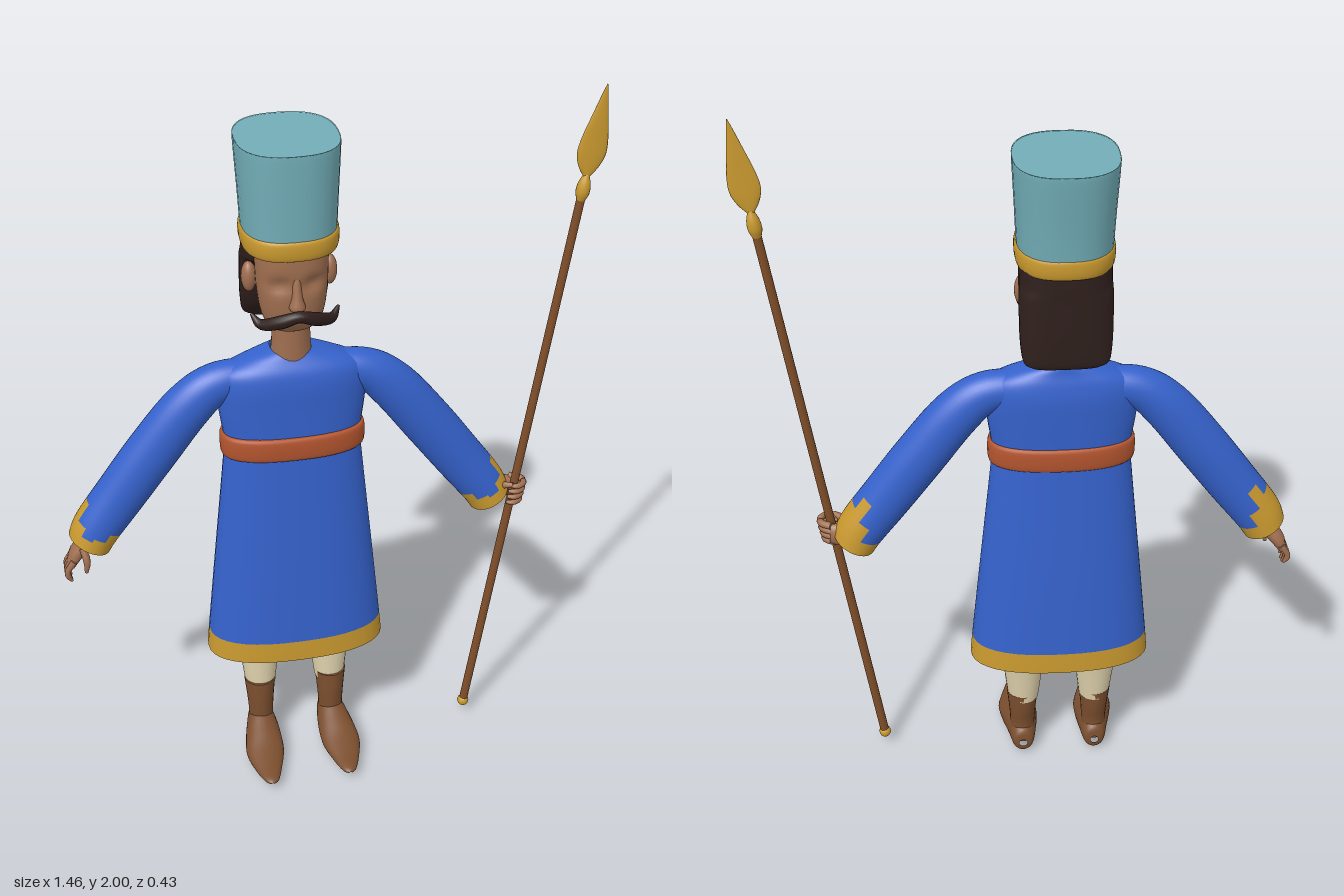
import * as THREE from 'three';

const CX = -0.09; // centre line of the body
const mat = (name, color, double) => {
  const m = new THREE.MeshStandardMaterial({ color });
  m.name = name;
  if (double) m.side = THREE.DoubleSide;
  return m;
};

// Smooth loft through rows of [x, y, z, radiusU, radiusV].
// V follows ref (z by default); axis fixes the ring direction; p squares the section.
function loft(rows, { segs = 24, k = 4, p = 2, axis, ref = [0, 0, 1], pick, capStart, capEnd } = {}) {
  const path = new THREE.CatmullRomCurve3(rows.map(r => new THREE.Vector3(r[0], r[1], r[2])), false, 'catmullrom');
  const size = new THREE.CatmullRomCurve3(rows.map(r => new THREE.Vector3(r[3], r[4], 0)), false, 'catmullrom');
  const n = (rows.length - 1) * k, pos = [], cells = [[], []];
  const bend = v => Math.sign(v) * Math.abs(v) ** (2 / p);
  for (let i = 0; i <= n; i++) {
    const c = path.getPoint(i / n), s = size.getPoint(i / n);
    const T = axis ? new THREE.Vector3(...axis) : path.getTangent(i / n);
    const V = new THREE.Vector3(...ref);
    V.addScaledVector(T, -V.dot(T)).normalize();
    const U = V.clone().cross(T);
    for (let j = 0; j < segs; j++) {
      const a = j / segs * Math.PI * 2;
      const q = c.clone().addScaledVector(U, bend(Math.cos(a)) * Math.max(s.x, 0.0005))
        .addScaledVector(V, bend(Math.sin(a)) * Math.max(s.y, 0.0005));
      pos.push(q.x, q.y, q.z);
    }
  }
  for (let i = 0; i < n; i++) for (let j = 0; j < segs; j++) {
    const a = i * segs + j, b = i * segs + (j + 1) % segs;
    cells[pick ? pick(i, j, n) : 0].push(a, b, b + segs, a, b + segs, a + segs);
  }
  // Flat caps use their own vertices so the rim stays sharp
  const cap = (row, flip) => {
    const base = pos.length / 3, ring = pos.slice(row * segs * 3, (row + 1) * segs * 3), mid = [0, 0, 0];
    ring.forEach((v, i) => { mid[i % 3] += v / segs; });
    pos.push(...ring, ...mid);
    for (let j = 0; j < segs; j++) {
      const a = base + j, b = base + (j + 1) % segs;
      cells[0].push(...(flip ? [b, a] : [a, b]), base + segs);
    }
  };
  if (capStart) cap(0, true);
  if (capEnd) cap(n, false);
  const g = new THREE.BufferGeometry();
  g.setAttribute('position', new THREE.Float32BufferAttribute(pos, 3));
  g.setIndex([...cells[0], ...cells[1]]);
  if (pick) {
    g.addGroup(0, cells[0].length, 0);
    g.addGroup(cells[0].length, cells[1].length, 1);
  }
  g.computeVertexNormals();
  return g;
}

export function createModel() {
  const M = {
    blue: mat('robe blue', 0x3562cc, true), gold: mat('gold trim', 0xc9992f, true),
    teal: mat('hat teal', 0x72adb7), skin: mat('skin', 0xa06f50), hair: mat('dark hair', 0x2e1f1c),
    boot: mat('boot leather', 0x7c4f2f), cream: mat('cream cloth', 0xdccfaa),
    belt: mat('belt rust', 0xb3552f), wood: mat('spear wood', 0x7f4e29),
  };
  const root = new THREE.Group();
  root.name = 'guard';
  const add = (name, geo, m, parent = root) => {
    const mesh = new THREE.Mesh(geo, m);
    mesh.name = name;
    parent.add(mesh);
    return mesh;
  };
  const ball = (name, m, x, y, z, rx, ry, rz, parent = root) => {
    const b = add(name, new THREE.SphereGeometry(1, 20, 14), m, parent);
    b.position.set(x, y, z);
    b.scale.set(rx, ry, rz);
    return b;
  };
  // Upright loft from rows of [y, radiusX, centreZ, radiusZ]
  const up = (rows, o = {}, x = CX) =>
    loft(rows.map(([y, rx, z, rz]) => [x, y, z, rx, rz]), { axis: [0, 1, 0], segs: 40, ...o });

  // Robe with gold hem, open below
  add('robe', up([[0.37, 0.255, -0.042, 0.122], [0.435, 0.249, -0.042, 0.119], [0.7, 0.222, -0.042, 0.103],
    [1.0, 0.191, -0.041, 0.082], [1.07, 0.186, -0.041, 0.078], [1.17, 0.198, -0.043, 0.078],
    [1.24, 0.2, -0.044, 0.078], [1.285, 0.185, -0.045, 0.07], [1.315, 0.12, -0.05, 0.056],
    [1.335, 0.055, -0.055, 0.047]], { p: 2.4, pick: i => (i < 4 ? 1 : 0) }), [M.blue, M.gold]);
  add('belt', up([[1.032, 0.18, -0.04, 0.075], [1.036, 0.195, -0.04, 0.087], [1.068, 0.198, -0.04, 0.09],
    [1.096, 0.195, -0.04, 0.087], [1.1, 0.18, -0.04, 0.075]], { p: 2.4 }), M.belt);

  // Sleeves with stepped gold cuffs, then legs and boots
  const steps = [9, 9, 11, 8, 5, 5, 4, 7, 7, 5, 4, 6];
  for (const s of [-1, 1]) {
    const side = s > 0 ? 'left' : 'right';
    const at = rows => rows.map(([d, ...r]) => [CX + s * d, ...r]);
    add(side + 'Sleeve', loft(at([[0.09, 1.262, -0.05, 0.045, 0.045], [0.2, 1.243, -0.048, 0.057, 0.052],
      [0.28, 1.18, -0.048, 0.067, 0.058], [0.378, 1.055, -0.05, 0.071, 0.061], [0.47, 0.93, -0.05, 0.07, 0.061],
      [0.54, 0.835, -0.049, 0.067, 0.064], [0.567, 0.785, -0.048, 0.061, 0.066]]), {
      k: 6, segs: 36,
      pick: (i, j, n) => {
        const m = s > 0 ? (54 - j) % 36 : j; // mirrored around the arm
        return n - i <= steps[Math.floor(((m + 20) % 36) / 3)] ? 1 : 0;
      },
    }), [M.blue, M.gold]);
    add(side + 'Leg', up([[0.2, 0.044, -0.052, 0.044], [0.3, 0.055, -0.058, 0.045], [0.4, 0.064, -0.064, 0.047],
      [0.55, 0.07, -0.06, 0.048]], { segs: 24 }, CX + s * 0.104), M.cream);
    add(side + 'BootShaft', up([[0.04, 0.036, -0.045, 0.04], [0.1, 0.036, -0.042, 0.038], [0.16, 0.04, -0.046, 0.045],
      [0.222, 0.046, -0.05, 0.048]], { segs: 24, capEnd: true }, CX + s * 0.106), M.boot);
    add(side + 'Foot', loft([[0.106, 0.042, -0.094, 0.012, 0.012], [0.106, 0.046, -0.085, 0.038, 0.03],
      [0.107, 0.055, -0.04, 0.054, 0.042], [0.111, 0.044, 0.025, 0.042, 0.053], [0.115, 0.034, 0.085, 0.029, 0.055],
      [0.116, 0.03, 0.15, 0.018, 0.038], [0.115, 0.032, 0.2, 0.01, 0.02], [0.115, 0.033, 0.216, 0.002, 0.004]]
      .map(([d, ...r]) => [CX + s * d, ...r]), { ref: [1, 0, 0], axis: [0, 0, 1] }), M.boot);
    ball(side + 'Ear', M.skin, CX + s * 0.105, 1.545, -0.055, 0.02, 0.042, 0.023);
  }

  // Head with shallow eye sockets
  const head = up([[1.405, 0.03, -0.02, 0.025], [1.42, 0.06, -0.02, 0.046], [1.46, 0.081, -0.02, 0.07],
    [1.53, 0.091, -0.02, 0.077], [1.6, 0.094, -0.022, 0.08], [1.66, 0.096, -0.03, 0.085]],
  { p: 2.3, k: 6, segs: 48, capStart: true });
  const hp = head.attributes.position;
  for (let i = 0; i < hp.count; i++) {
    if (hp.getZ(i) < 0) continue;
    const dx = Math.abs(hp.getX(i) - CX) - 0.042, dy = hp.getY(i) - 1.56;
    hp.setZ(i, hp.getZ(i) - 0.014 * Math.exp(-((dx / 0.03) ** 2) - (dy / 0.02) ** 2));
  }
  head.computeVertexNormals();
  add('head', head, M.skin);
  add('neck', up([[1.3, 0.058, -0.045, 0.05], [1.37, 0.051, -0.042, 0.048], [1.46, 0.052, -0.04, 0.048]], { segs: 24 }), M.skin);
  add('nose', up([[1.488, 0.006, 0.055, 0.008], [1.5, 0.021, 0.056, 0.022], [1.53, 0.014, 0.053, 0.018],
    [1.58, 0.01, 0.046, 0.012]], { segs: 16, capStart: true }), M.skin);
  // Hair falls behind the ears to the nape
  add('hair', up([[1.38, 0.085, -0.162, 0.018], [1.395, 0.108, -0.16, 0.026], [1.44, 0.116, -0.144, 0.043],
    [1.5, 0.118, -0.132, 0.054], [1.57, 0.118, -0.12, 0.064], [1.6, 0.117, -0.094, 0.09], [1.65, 0.116, -0.09, 0.092]],
  { p: 2.8, capStart: true }), M.hair);
  const half = [[0.113, 1.478, 0.022, 0.004, 0.004], [0.09, 1.455, 0.042, 0.014, 0.014], [0.045, 1.472, 0.072, 0.018, 0.016]];
  add('moustache', loft([...half.map(([d, ...r]) => [CX - d, ...r]), [CX, 1.488, 0.084, 0.015, 0.014],
    ...[...half].reverse().map(([d, ...r]) => [CX + d, ...r])], { segs: 14, k: 5 }), M.hair);

  // Tall flared hat
  add('hat', up([[1.64, 0.119, -0.06, 0.129], [1.76, 0.124, -0.064, 0.135], [1.9, 0.131, -0.071, 0.144],
    [1.912, 0.129, -0.071, 0.142]], { p: 2.5, capStart: true, capEnd: true }), M.teal);
  add('hatBand', up([[1.632, 0.112, -0.06, 0.122], [1.638, 0.122, -0.06, 0.132], [1.66, 0.126, -0.06, 0.136],
    [1.684, 0.124, -0.06, 0.134], [1.69, 0.114, -0.06, 0.124]], { p: 2.5 }), M.gold);

  // Hands: rows start from the body centre line
  const limb = (name, s, rows, parent) => add(name, loft(rows.map(([d, ...r]) => [CX + s * d, ...r]),
    { segs: 12, k: 3, capStart: true, capEnd: true }), M.skin, parent);
  const relaxed = new THREE.Group(), fist = new THREE.Group();
  relaxed.name = 'rightHand';
  fist.name = 'leftHand';
  root.add(relaxed, fist);
  limb('palm', -1, [[0.55, 0.825, -0.052, 0.025, 0.025], [0.575, 0.78, -0.054, 0.023, 0.023],
    [0.604, 0.745, -0.06, 0.021, 0.031], [0.622, 0.71, -0.06, 0.013, 0.03]], relaxed);
  for (let f = 0; f < 4; f++) {
    const z = -0.086 + f * 0.0175, t = [0.012, 0.002, 0, 0.006][f];
    limb('finger', -1, [[0.614, 0.73, z, 0.009, 0.009], [0.633, 0.702, z, 0.0085, 0.0085],
      [0.634, 0.68 + t / 2, z, 0.008, 0.008], [0.625, 0.66 + t, z, 0.004, 0.004]], relaxed);
  }
  limb('thumb', -1, [[0.588, 0.77, -0.036, 0.01, 0.01], [0.58, 0.735, -0.02, 0.01, 0.01],
    [0.584, 0.7, -0.018, 0.005, 0.005]], relaxed);
  limb('palm', 1, [[0.54, 0.83, -0.05, 0.025, 0.025], [0.572, 0.808, -0.05, 0.024, 0.024],
    [0.605, 0.808, -0.05, 0.034, 0.022], [0.63, 0.81, -0.048, 0.03, 0.016]], fist);
  for (let f = 0; f < 4; f++) {
    const y = 0.783 + f * 0.018, o = (f - 1.5) * 0.003;
    limb('finger', 1, [[0.622 + o, y, -0.052, 0.01, 0.01], [0.65 + o, y, -0.035, 0.01, 0.01],
      [0.651 + o, y, -0.008, 0.009, 0.009], [0.63 + o, y, 0.006, 0.008, 0.008], [0.61 + o, y, 0, 0.005, 0.005]], fist);
  }
  limb('thumb', 1, [[0.59, 0.82, -0.04, 0.011, 0.011], [0.602, 0.835, -0.01, 0.01, 0.01],
    [0.622, 0.842, 0.004, 0.006, 0.006]], fist);

  // Leaning spear, built along its own y axis
  const spear = new THREE.Group();
  spear.name = 'spear';
  spear.position.set(0.427, 0.042, -0.015);
  spear.rotation.z = -0.142;
  root.add(spear);
  add('shaft', new THREE.CylinderGeometry(0.0115, 0.0125, 1.69, 14).translate(0, 0.845, 0), M.wood, spear);
  ball('buttCap', M.gold, 0, 0.003, 0, 0.017, 0.018, 0.017, spear);
  const own = rows => rows.map(([y, rx, rz]) => [0, y, 0, rx, rz]);
  add('socket', loft(own([[1.668, 0.011, 0.011], [1.69, 0.018, 0.018], [1.715, 0.016, 0.016], [1.74, 0.007, 0.007]]),
    { segs: 16, capStart: true, capEnd: true }), M.gold, spear);
  add('blade', loft(own([[1.732, 0.007, 0.006], [1.76, 0.027, 0.007], [1.795, 0.039, 0.007], [1.84, 0.035, 0.006],
    [1.9, 0.021, 0.005], [1.95, 0.009, 0.003], [1.979, 0.001, 0.001]]), { segs: 16 }), M.gold, spear);
  return root;
}
